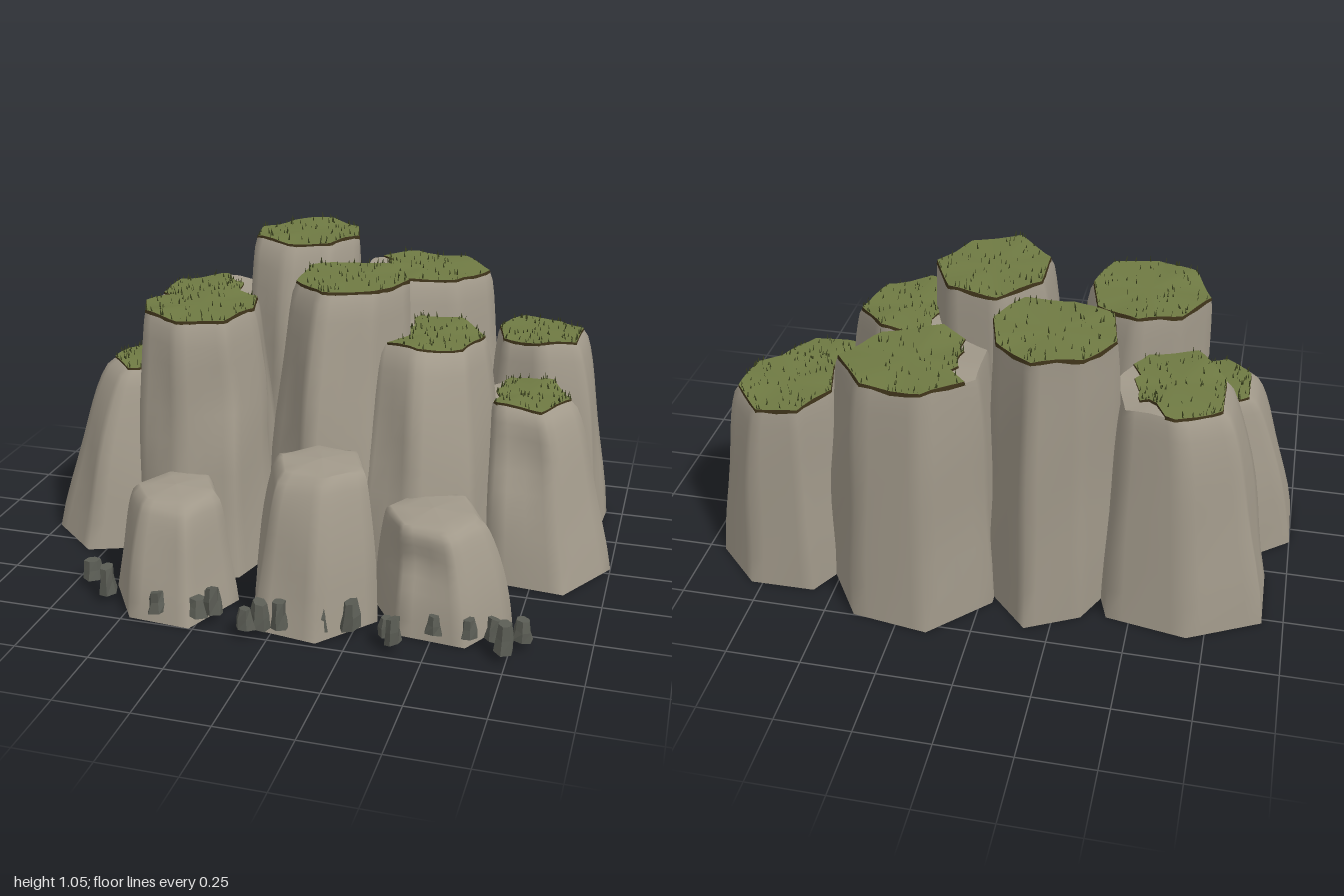
import * as THREE from 'three';
import { mergeGeometries } from 'three/addons/utils/BufferGeometryUtils.js';

const mat = (name, color) => Object.assign(new THREE.MeshStandardMaterial({ color }), { name });

let seed = 7;
const rnd = () => (seed = (seed * 16807) % 2147483647) / 2147483647;

// Polygon fitted to a box [x0, x1, z0, z1], clockwise from above, four points per side
function outline([x0, x1, z0, z1], sides, turn) {
  const corners = [], pts = [];
  for (let i = 0; i < sides; i++) {
    const a = turn + i / sides * Math.PI * 2, r = 1 + .06 * Math.sin(i * 2.4 + turn * 9);
    corners.push(new THREE.Vector2(r * Math.sin(a), -r * Math.cos(a)));
  }
  const box = new THREE.Box2().setFromPoints(corners), size = box.getSize(new THREE.Vector2());
  corners.forEach((p) => p.set(
    x0 + (p.x - box.min.x) / size.x * (x1 - x0),
    z0 + (p.y - box.min.y) / size.y * (z1 - z0)));
  corners.forEach((p, i) => {
    for (const t of [0, .2, .5, .8]) pts.push(p.clone().lerp(corners[(i + 1) % sides], t));
  });
  return pts;
}

const middle = (ring) => [0, 1, 2].map((k) => ring.reduce((s, p) => s + p[k], 0) / ring.length);
const wave = (x, z) => .006 * Math.sin(x * 23 + z * 9) + .004 * Math.sin(z * 31 - x * 11);

function geometry(pos, idx) {
  const g = new THREE.BufferGeometry();
  g.setAttribute('position', new THREE.Float32BufferAttribute(pos, 3));
  g.setIndex(idx);
  g.computeVertexNormals();
  return g;
}

// Skin over closed rings listed from top to bottom
function loft(rings) {
  const n = rings[0].length, idx = [];
  for (let r = 0; r + 1 < rings.length; r++) for (let i = 0; i < n; i++) {
    const j = (i + 1) % n, c = r * n + i, d = r * n + j, a = c + n, b = d + n;
    idx.push(b, a, c, b, c, d);
  }
  return geometry(rings.flat(2), idx);
}

// Fan closing one ring, facing up or down
function cap(ring, up) {
  const n = ring.length, idx = [];
  for (let i = 0; i < n; i++) idx.push(...(up ? [n, (i + 1) % n, i] : [n, i, (i + 1) % n]));
  return geometry([...ring, middle(ring)].flat(), idx);
}

// Flared rock pillar, with a flat or rounded top and an optional hollow in its front
function pillar({ h, top, foot, sides, turn, dent }, rounded) {
  const rim = outline(top, sides, turn), base = outline(foot, sides, turn);
  const cx = (top[0] + top[1]) / 2, cz = (top[2] + top[3]) / 2;
  const swell = rounded ? .85 : .65;
  const rings = [];
  for (let k = 0; k <= 10; k++) {
    const d = (k / 10) ** 1.5, f = swell * Math.sqrt(d) + (1 - swell) * d;
    rings.push(rim.map((p, i) => {
      const q = p.clone().lerp(base[i], f);
      const y = .008 + (h - .008 + wave(p.x, p.y)) * (1 - d);
      const bump = 1 + d * (1 - d) * .12 * Math.sin(p.x * 21 + y * 7 + p.y * 17);
      const x = cx + (q.x - cx) * bump;
      let z = cz + (q.y - cz) * bump;
      if (dent && z > cz) {
        z -= dent.depth * Math.exp(-((x - dent.x) ** 2 + (y - dent.y) ** 2) / dent.r ** 2);
      }
      return [x, y, z];
    }));
  }
  if (rounded) {
    for (const s of [.93, .6, .02]) {
      rings.unshift(rim.map((p) => [cx + (p.x - cx) * s, h + .004 + .012 * (1 - s), cz + (p.y - cz) * s]));
    }
  }
  return mergeGeometries([loft(rings), cap(rings[0], true), cap(rings.at(-1), false)]);
}

// Turf outline, drawn in towards the middle at the bare patch
function turfRing({ h, top, sides, turn, bare }) {
  const c = new THREE.Vector2((top[0] + top[1]) / 2, (top[2] + top[3]) / 2);
  return outline(top, sides, turn).map((p) => {
    const y = h + .006 + wave(p.x, p.y);
    if (bare && Math.hypot(p.x - bare.x, p.y - bare.z) < bare.r) p.lerp(c, .28 + .1 * rnd());
    return [p.x, y, p.y];
  });
}

// Upright flat blades along the rim and scattered over the turf
function blades(ring) {
  const n = ring.length, mid = middle(ring), pos = [], idx = [];
  for (let i = 0; i < 85; i++) {
    const k = Math.floor(rnd() * n), a = ring[k], b = ring[(k + 1) % n], t = rnd();
    const s = i < 30 ? .98 : Math.sqrt(rnd()) * .95;
    const [x, y, z] = mid.map((m, q) => m + (a[q] + (b[q] - a[q]) * t - m) * s);
    const len = .012 + rnd() * .013, turn = rnd() * Math.PI;
    const dx = .0035 * Math.cos(turn), dz = .0035 * Math.sin(turn);
    pos.push(x - dx, y - .002, z - dz, x + dx, y - .002, z + dz, x + dx, y + len, z + dz);
    idx.push(3 * i, 3 * i + 1, 3 * i + 2);
  }
  return geometry(pos, idx);
}

// Rough six-sided stone, tapered and dented
function stoneGeometry(w, h, i) {
  const geo = new THREE.CylinderGeometry(w * .36, w * .55, h, 6, 2).toNonIndexed();
  const p = geo.attributes.position;
  for (let k = 0; k < p.count; k++) {
    const [a, b, c] = [p.getX(k), p.getY(k), p.getZ(k)];
    const s = 1 + .14 * Math.sin(a * 90 + c * 130 + b * 60 + i);
    p.setXYZ(k, a * s, b + .3 * a * Math.sin(i * 2), c * s);
  }
  geo.computeVertexNormals();
  return geo;
}

export function createModel() {
  const group = new THREE.Group();
  group.name = 'rockColumns';
  const rock = mat('rock', 0xa1998a), turf = mat('turf', 0x6f7a43), soil = mat('soil', 0x3d3219);
  const blade = mat('grassBlade', 0x3a411e), stone = mat('darkStone', 0x5a5c54);
  soil.side = blade.side = THREE.DoubleSide;
  const add = (name, geo, material, parent = group) => {
    const m = new THREE.Mesh(geo, material);
    m.name = name;
    parent.add(m);
    return m;
  };

  // Tall column topped with turf, a dark soil edge and blades
  function column(name, h, top, foot, sides, turn, extra = {}) {
    const shape = { h, top, foot, sides, turn, ...extra };
    const g = new THREE.Group();
    g.name = name;
    group.add(g);
    add('columnRock', pillar(shape, false), rock, g);
    const ring = turfRing(shape), [cx, , cz] = middle(ring);
    add('turfTop', cap(ring, true), turf, g);
    const hem = ring.map(([x, y, z], k) => [cx + (x - cx) * 1.015, y - .009 - (k % 3) * .003, cz + (z - cz) * 1.015]);
    add('soilEdge', loft([ring, hem]), soil, g);
    add('grassBlades', blades(ring), blade, g);
  }
  column('backRightColumn', .8, [-.74, -.4, -.57, -.16], [-.93, -.34, -.64, -.08], 7, -.15, { bare: { x: -.41, z: -.47, r: .15 } });
  column('tallestColumn', 1.02, [-.41, -.02, -.69, -.29], [-.44, .03, -.7, -.06], 8, .15);
  column('backColumn', .9, [0, .45, -.74, -.33], [-.04, .55, -.785, -.16], 7, -.3, { bare: { x: 0, z: -.52, r: .11 } });
  column('backLeftColumn', .71, [.51, .81, -.63, -.3], [.46, .94, -.66, -.2], 7, -.55);
  column('rightColumn', .63, [-.81, -.56, -.2, .1], [-1, -.47, -.22, .32], 7, -.25, { bare: { x: -.58, z: -.06, r: .14 } });
  column('frontRightColumn', .88, [-.65, -.25, -.14, .29], [-.68, -.16, -.2, .43], 8, .05, { dent: { x: -.28, y: .62, r: .12, depth: .03 } });
  column('centreColumn', .985, [-.11, .26, -.25, .18], [-.19, .31, -.28, .39], 7, -.25);
  column('frontLeftColumn', .805, [.18, .52, -.24, .15], [.15, .63, -.27, .41], 7, -.43, { bare: { x: .2, z: -.06, r: .15 } });
  column('leftColumn', .59, [.5, .82, -.29, .02], [.47, 1, -.29, .2], 6, -.5,
    { bare: { x: .51, z: -.15, r: .12 }, dent: { x: .7, y: .42, r: .1, depth: .03 } });

  // Low bare boulders at the front
  const boulder = (name, h, top, foot, turn, dent) => add(name, pillar({ h, top, foot, sides: 6, turn, dent }, true), rock);
  boulder('rightBoulder', .375, [-.53, -.25, .37, .62], [-.6, -.17, .31, .75], -.55);
  boulder('centreBoulder', .495, [-.06, .24, .29, .56], [-.14, .31, .24, .73], -.35);
  boulder('leftBoulder', .35, [.3, .61, .24, .54], [.27, .73, .2, .63], -.5, { x: .44, y: .23, r: .08, depth: .05 });

  // Small dark stones along the front: x, z
  const stones = [
    [-.68, .56], [-.59, .64], [-.38, .72], [-.23, .64], [-.2, .69], [-.25, .7], [-.07, .75], [-.03, .72], [.03, .71],
    [.15, .68], [.25, .65], [.37, .67], [.4, .71], [.51, .62], [.62, .61], [.7, .61], [.74, .66], [.785, .58],
  ];
  stones.forEach(([x, z], i) => {
    const w = .05 + .025 * rnd(), h = .055 + .04 * rnd();
    const m = add('stone' + (i + 1), stoneGeometry(w, h, i), stone);
    m.position.set(x, .04 + h / 2, z);
    m.rotation.y = i * 1.3;
  });
  return group;
}
